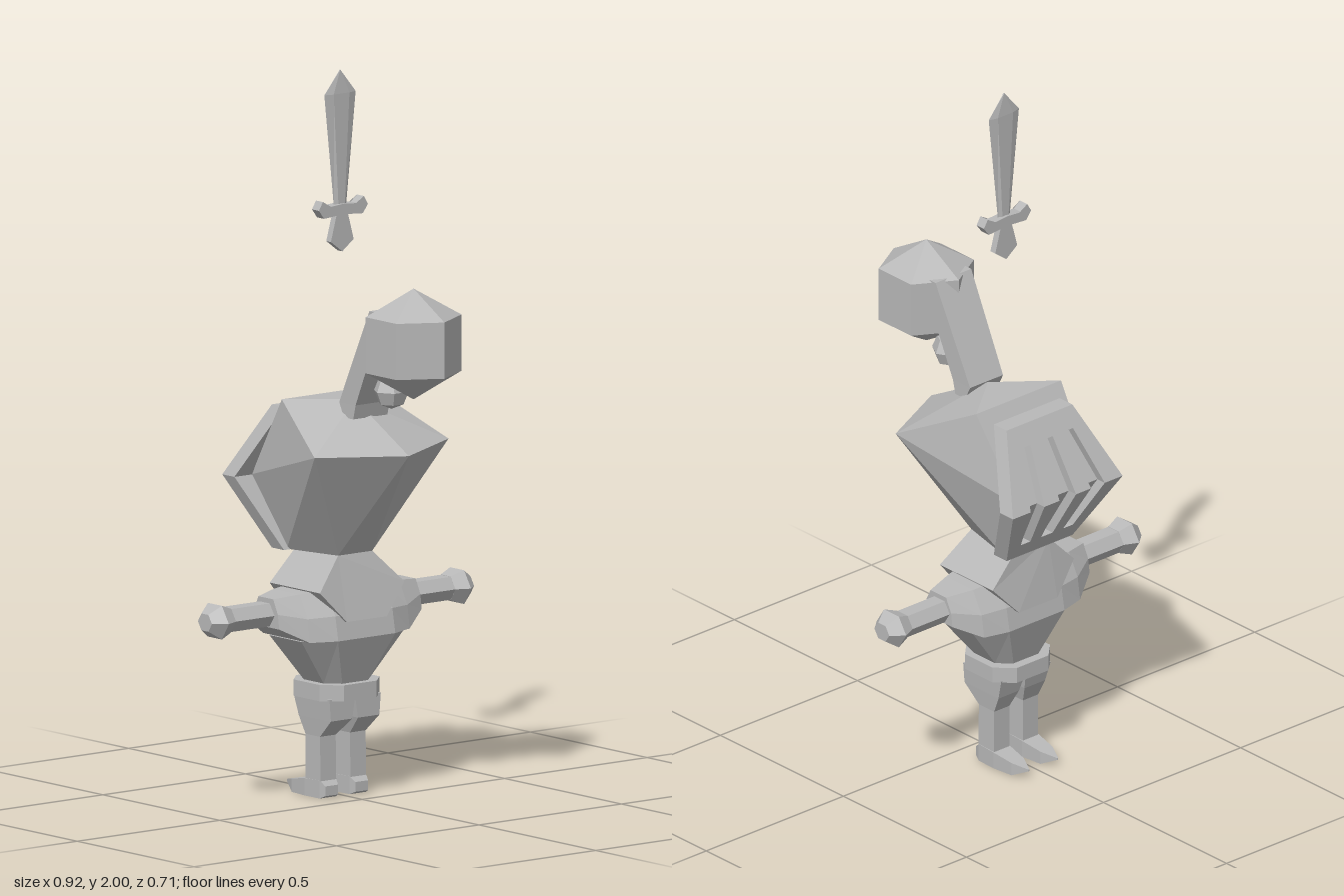
import * as THREE from 'three';
import { ConvexGeometry } from 'three/addons/geometries/ConvexGeometry.js';

const grey = new THREE.MeshStandardMaterial({ color: 0xb8b8b8, flatShading: true });
grey.name = 'plain grey';

// Skins a list of equal-length point rings, caps both ends, faces outward
function loft(rings) {
  const tris = [];
  const n = rings[0].length;
  for (let r = 0; r < rings.length - 1; r++) {
    for (let i = 0; i < n; i++) {
      const j = (i + 1) % n;
      const a = rings[r][i], b = rings[r][j], c = rings[r + 1][j], d = rings[r + 1][i];
      tris.push([a, b, c], [a, c, d]);
    }
  }
  const first = rings[0], last = rings[rings.length - 1];
  for (let i = 1; i < n - 1; i++) {
    tris.push([first[0], first[i + 1], first[i]], [last[0], last[i], last[i + 1]]);
  }
  let volume = 0;
  const v = (p) => new THREE.Vector3(...p);
  for (const [a, b, c] of tris) volume += v(a).dot(v(b).cross(v(c)));
  if (volume < 0) tris.forEach((t) => t.reverse());
  const g = new THREE.BufferGeometry();
  g.setAttribute('position', new THREE.Float32BufferAttribute(tris.flat(2), 3));
  g.computeVertexNormals();
  return g;
}

// Box-shaped and chamfered rings lying flat at height y
const rectRing = (y, x0, x1, z0, z1) => [[x0, y, z0], [x1, y, z0], [x1, y, z1], [x0, y, z1]];
function octRing(y, hx, z0, z1, k = 0.55) {
  const c = (z0 + z1) / 2, h = (z1 - z0) / 2;
  return [[-hx * k, z1], [hx * k, z1], [hx, c + h * k], [hx, c - h * k],
    [hx * k, z0], [-hx * k, z0], [-hx, c - h * k], [-hx, c + h * k]].map(([x, z]) => [x, y, z]);
}
// Six-sided ring standing across the x axis
function hexRing(x, y, z, ry, rz) {
  return [...Array(6)].map((_, i) => {
    const a = (i * Math.PI) / 3;
    return [x, y + ry * Math.sin(a), z + rz * Math.cos(a)];
  });
}
// Flat outline in x and y given thickness in z
const plate = (outline, z, t) => loft([outline.map(([x, y]) => [x, y, z - t]), outline.map(([x, y]) => [x, y, z + t])]);

export function createModel() {
  const model = new THREE.Group();
  const add = (name, geometry, parent = model) => {
    const mesh = new THREE.Mesh(geometry, grey);
    mesh.name = name;
    parent.add(mesh);
    return mesh;
  };
  const group = (name) => {
    const g = new THREE.Group();
    g.name = name;
    model.add(g);
    return g;
  };

  // Floating sword
  const sword = group('sword');
  const sz = -0.095;
  const bladeRing = (y, w, t) => [[-w, y, sz], [-w * 0.5, y, sz + t], [w * 0.5, y, sz + t],
    [w, y, sz], [w * 0.5, y, sz - t], [-w * 0.5, y, sz - t]];
  add('blade', loft([bladeRing(1.61, 0.02, 0.007), bladeRing(1.935, 0.055, 0.007), bladeRing(2, 0.001, 0.002)]), sword);
  add('grip', plate([[-0.015, 1.62], [-0.04, 1.53], [0, 1.5], [0.04, 1.53], [0.015, 1.62]], sz, 0.01), sword);
  for (const s of [-1, 1]) {
    add('guard', plate([[0, 1.603], [0, 1.632], [s * 0.05, 1.628], [s * 0.072, 1.645],
      [s * 0.086, 1.622], [s * 0.068, 1.598], [s * 0.045, 1.608]], sz, 0.015), sword);
  }

  // Plume: faceted ball on a leaning stalk
  const plume = group('plume');
  const ballRing = (y, r) => [...Array(6)].map((_, i) => {
    const a = (i * Math.PI) / 3;
    return [r * Math.sin(a), y, 0.22 + r * Math.cos(a)];
  });
  add('plumeBall', loft([ballRing(1.135, 0.0005), ballRing(1.21, 0.132), ballRing(1.365, 0.132), ballRing(1.44, 0.0005)]), plume);
  add('plumeStalk', loft([rectRing(1.06, -0.06, 0.06, -0.005, 0.035), rectRing(1.1, -0.06, 0.06, -0.025, 0.045),
    rectRing(1.37, -0.065, 0.065, 0.11, 0.17)]), plume);
  const knot = add('plumeKnot', new THREE.SphereGeometry(0.05, 6, 4), plume);
  knot.position.set(0, 1.145, 0.125);

  // Helmet shell
  const shell = [[0, 0.975, 0.2], [0, 1.1, -0.03]];
  for (const s of [-1, 1]) {
    shell.push([s * 0.235, 0.98, 0.083], [s * 0.155, 1.1, -0.155], [s * 0.137, 0.87, -0.305],
      [s * 0.06, 0.675, -0.03], [s * 0.1, 0.675, -0.2]);
  }
  add('helmet', new ConvexGeometry(shell.map((p) => new THREE.Vector3(...p))));

  // Bent visor: recessed backing, four bars and a rim on each half
  const visor = group('visor');
  for (const edgeY of [1.07, 0.675]) {
    const at = (u, t, d) => [u * (0.2 - 0.08 * t), 0.87 + (edgeY - 0.87) * t, -0.355 + 0.115 * t + d];
    const slab = (name, u0, u1, t0, t1, d0, d1) => add(name, loft([d0, d1].map((d) =>
      [at(u0, t0, d), at(u1, t0, d), at(u1, t1, d), at(u0, t1, d)])), visor);
    slab('visorBacking', -1, 1, 0, 1, 0.03, 0.052);
    slab('visorRim', -1, 1, 0.74, 1, 0, 0.03);
    for (const [u0, u1] of [[-1, -0.675], [-0.425, -0.15], [0.15, 0.425], [0.675, 1]]) {
      slab('visorBar', u0, u1, 0, 0.74, 0, 0.03);
    }
  }

  // Shoulder cape: six-cornered plate that flares towards the bottom
  const cape = [[-0.06, 0.675, -0.03, -0.21], [0.06, 0.675, -0.03, -0.21], [0.148, 0.585, 0, -0.215],
    [0.07, 0.5, 0.02, -0.235], [-0.07, 0.5, 0.02, -0.235], [-0.148, 0.585, 0, -0.215]];
  add('cape', loft([2, 3].map((k) => cape.map((p) => [p[0], p[1], p[k]]))));

  // Chest with shoulders, lofted from side to side
  const chestRing = (x, y0, y1, z0, z1) => {
    const ym = y0 + (y1 - y0) * 0.5, c = (z0 + z1) / 2, h = (z1 - z0) / 2;
    return [[x, y0, z0], [x, ym, z0 + h * 0.1], [x, y1, c - h * 0.55], [x, y1, c + h * 0.55],
      [x, ym, z1 - h * 0.1], [x, y0, z1]];
  };
  add('chest', loft([chestRing(-0.25, 0.49, 0.57, -0.165, -0.05), chestRing(-0.175, 0.45, 0.578, -0.21, -0.01),
    chestRing(-0.1, 0.45, 0.585, -0.23, 0.02), chestRing(0.1, 0.45, 0.585, -0.23, 0.02),
    chestRing(0.175, 0.45, 0.578, -0.21, -0.01), chestRing(0.25, 0.49, 0.57, -0.165, -0.05)]));
  add('waist', loft([octRing(0.3, 0.075, -0.18, -0.03), octRing(0.32, 0.082, -0.185, -0.03),
    octRing(0.45, 0.183, -0.23, 0.02)]));
  add('belt', loft([octRing(0.275, 0.105, -0.212, -0.008), octRing(0.32, 0.105, -0.212, -0.008)]));

  for (const s of [-1, 1]) {
    const side = s > 0 ? 'left' : 'right';
    const x0 = s * 0.005, x1 = s * 0.09;
    // Arm and blunt hand
    const armRing = (x, r) => hexRing(s * x, 0.525, -0.112, r * 0.87, r);
    add(side + 'Arm', loft([armRing(0.24, 0.042), armRing(0.39, 0.042)]));
    add(side + 'Hand', loft([armRing(0.385, 0.042), armRing(0.425, 0.06), armRing(0.46, 0.03)]
      .map((ring) => ring.map(([x, y, z]) => [x, 0.525 + (y - 0.525) * 1.03, z]))));
    // Thigh, shin and pointed foot
    add(side + 'Thigh', loft([rectRing(0.28, 0, x1, -0.185, -0.03), rectRing(0.22, x0 * 2, s * 0.085, -0.168, -0.03),
      rectRing(0.17, s * 0.025, s * 0.08, -0.145, -0.083)]));
    add(side + 'Shin', loft([rectRing(0.175, s * 0.025, s * 0.08, -0.145, -0.083),
      rectRing(0.03, s * 0.025, s * 0.08, -0.145, -0.08)]));
    const footRing = (z, a, b, y0, y1) => [[s * a, y0, z], [s * b, y0, z], [s * b, y1, z], [s * a, y1, z]];
    add(side + 'Foot', loft([footRing(-0.066, 0.03, 0.075, 0.008, 0.035), footRing(-0.083, 0.024, 0.081, 0, 0.05),
      footRing(-0.145, 0.022, 0.083, 0, 0.048), footRing(-0.21, 0.03, 0.075, 0, 0.037),
      footRing(-0.256, 0.051, 0.054, 0.022, 0.027)]));
  }
  return model;
}
